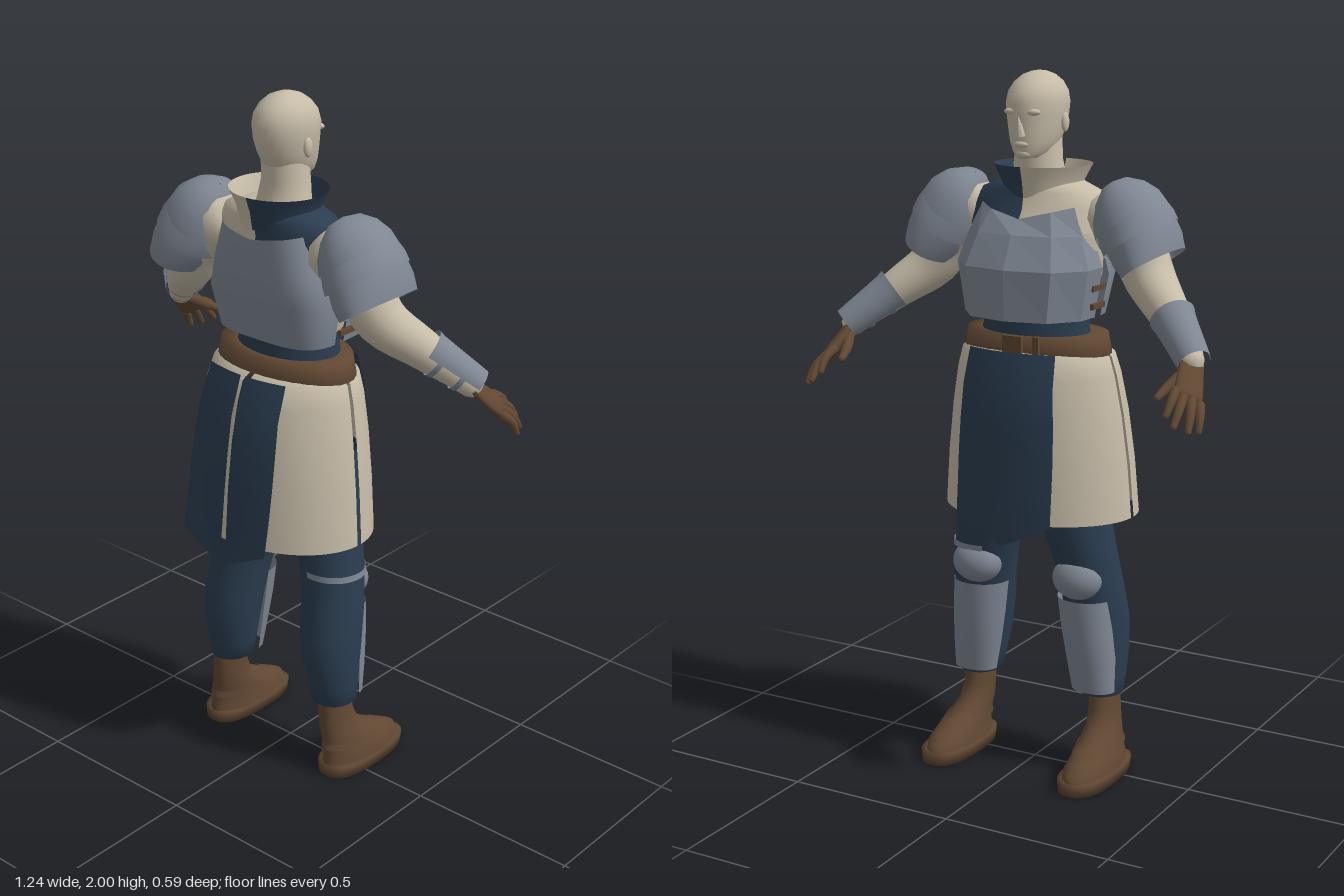
import * as THREE from 'three';

const paint = (name, color) => {
  const m = new THREE.MeshStandardMaterial({ color, side: THREE.DoubleSide });
  m.name = name;
  return m;
};
const V = (a) => new THREE.Vector3(...a);

// Skin a list of rings (arrays of points), open or closed around
function loft(rings, closed) {
  const n = rings[0].length, index = [];
  for (let j = 0; j < rings.length - 1; j++) {
    for (let i = 0; i < (closed ? n : n - 1); i++) {
      const k = (i + 1) % n, a = j * n + i, b = j * n + k;
      index.push(a, a + n, b, b, a + n, b + n);
    }
  }
  const g = new THREE.BufferGeometry().setFromPoints(rings.flat());
  g.setIndex(index);
  g.computeVertexNormals();
  return g;
}

// Superelliptic ring or arc, angles in degrees
function ring(c, u, v, ru, rv, a0 = 0, a1 = 360, e = 2, seg = 32) {
  const full = a1 - a0 === 360, pts = [];
  const f = (t) => Math.sign(t) * Math.pow(Math.abs(t), 2 / e);
  for (let i = 0; i < (full ? seg : seg + 1); i++) {
    const a = THREE.MathUtils.degToRad(a0 + ((a1 - a0) * i) / seg);
    pts.push(c.clone().addScaledVector(u, ru * f(Math.cos(a))).addScaledVector(v, rv * f(Math.sin(a))));
  }
  return pts;
}

// Horizontal slices [y, cx, cz, rx, rz]; angle 0 = +x, 90 = +z
const X = V([1, 0, 0]), Z = V([0, 0, 1]);
function slices(list, a0 = 0, a1 = 360, e = 2) {
  return loft(list.map(([y, cx, cz, rx, rz]) => ring(V([cx, y, cz]), X, Z, rx, rz, a0, a1, e)), a1 - a0 === 360);
}

// Tapered limb along points [x, y, z, r]; flat squashes it across the ref direction
function limb(pts, { ref = [0, 0, 1], a0 = 0, a1 = 360, flat = 1, cap = true, seg = 18 } = {}) {
  const curve = new THREE.CatmullRomCurve3(pts.map((p) => V(p.slice(0, 3))));
  const steps = (pts.length - 1) * 4, rings = [];
  for (let i = 0; i <= steps; i++) {
    const t = i / steps, k = Math.min(Math.floor(t * (pts.length - 1)), pts.length - 2);
    const r = THREE.MathUtils.lerp(pts[k][3], pts[k + 1][3], t * (pts.length - 1) - k);
    const c = curve.getPoint(t), a = curve.getTangent(t);
    const u = V(ref).addScaledVector(a, -V(ref).dot(a)).normalize();
    const v = u.clone().cross(a);
    const add = (d, s) => rings.push(ring(c.clone().addScaledVector(a, d), u, v, r * s, r * s * flat, a0, a1, 2, seg));
    if (cap && i === 0) { add(-r * 0.6 * flat, 0.01); add(-r * 0.4 * flat, 0.7); }
    add(0, 1);
    if (cap && i === steps) { add(r * 0.5 * flat, 0.75); add(r * 0.8 * flat, 0.01); }
  }
  return loft(rings, a1 - a0 === 360);
}

function mirrored(geo) {
  const g = geo.clone().scale(-1, 1, 1), ix = g.index.array;
  for (let i = 0; i < ix.length; i += 3) [ix[i], ix[i + 1]] = [ix[i + 1], ix[i]];
  g.computeVertexNormals();
  return g;
}

const blob = (x, y, z, rx, ry, rz) => new THREE.SphereGeometry(1, 20, 14).scale(rx, ry, rz).translate(x, y, z);
const box = (x, y, z, w, h, d) => new THREE.BoxGeometry(w, h, d).translate(x, y, z);

export function createModel() {
  const cream = paint('cream cloth and skin', 0xc6bca8);
  const navy = paint('navy cloth', 0x2b3d50);
  const steel = paint('steel', 0x7f8793);
  const leather = paint('brown leather', 0x614833);

  const model = new THREE.Group();
  model.name = 'armouredFigure';
  const add = (name, geo, mat) => {
    const m = new THREE.Mesh(geo, mat);
    m.name = name;
    model.add(m);
  };
  const both = (name, geo, mat) => {
    add(name + 'Left', geo, mat);
    add(name + 'Right', mirrored(geo), mat);
  };

  // Head, facing -z
  add('head', slices([[1.765, 0, -0.035, 0.004, 0.004], [1.768, 0, -0.03, 0.03, 0.042], [1.782, 0, -0.008, 0.05, 0.07],
    [1.81, 0, 0.004, 0.065, 0.086], [1.845, 0, 0.012, 0.073, 0.096], [1.88, 0, 0.017, 0.08, 0.101],
    [1.915, 0, 0.018, 0.083, 0.104], [1.945, 0, 0.02, 0.078, 0.096], [1.97, 0, 0.022, 0.064, 0.077],
    [1.988, 0, 0.023, 0.043, 0.052], [1.997, 0, 0.024, 0.02, 0.025], [2, 0, 0.024, 0.001, 0.001]]), cream);
  add('neck', slices([[1.64, 0, 0.035, 0.1, 0.085], [1.71, 0, 0.026, 0.078, 0.068], [1.76, 0, 0.02, 0.068, 0.066],
    [1.84, 0, 0.025, 0.062, 0.066]]), cream);
  add('nose', new THREE.ConeGeometry(0.016, 0.055, 12).rotateX(-0.25).translate(0, 1.857, -0.086), cream);
  add('lips', blob(0, 1.806, -0.075, 0.022, 0.01, 0.012), cream);
  add('chin', blob(0, 1.78, -0.064, 0.024, 0.015, 0.016), cream);
  both('brow', blob(0.03, 1.893, -0.07, 0.026, 0.01, 0.012), cream);
  both('ear', blob(0.081, 1.862, 0.024, 0.01, 0.027, 0.015), cream);

  // Torso, two-tone yoke and standing collar
  add('waist', slices([[0.8, 0, 0.01, 0.17, 0.12], [1.0, 0, 0.01, 0.2, 0.14], [1.2, 0, 0.01, 0.185, 0.125],
    [1.3, 0, 0.008, 0.158, 0.11], [1.38, 0, 0.008, 0.165, 0.115]]), navy);
  add('tunic', slices([[1.36, 0, 0.008, 0.17, 0.12], [1.45, 0, 0.01, 0.195, 0.13], [1.57, 0, 0.015, 0.2, 0.135]]), cream);
  const yoke = [[1.56, 0, 0.015, 0.2, 0.135], [1.63, 0, 0.035, 0.205, 0.108], [1.675, 0, 0.042, 0.18, 0.105],
    [1.7, 0, 0.045, 0.115, 0.095], [1.705, 0, 0.045, 0.08, 0.07]];
  const collar = [[1.65, 0, 0.045, 0.108, 0.11], [1.7, 0, 0.046, 0.115, 0.118], [1.745, 0, 0.048, 0.14, 0.132]];
  [[-90, 90, navy, 'Left'], [90, 270, cream, 'Right']].forEach(([a0, a1, mat, side]) => {
    add('yoke' + side, slices(yoke, a0, a1), mat);
    add('collar' + side, slices(collar, a0, a1), mat);
  });

  // Faceted breastplate: one half section, scaled per level
  const half = [[0.205, 0.0], [0.2, -0.07], [0.13, -0.145], [0, -0.168]];
  const section = half.concat(half.slice(0, -1).reverse().map(([x, z]) => [-x, z]));
  const levels = [[1.335, 0.92, 1.04, 0], [1.475, 1.03, 1.06, 0], [1.565, 0.88, 0.8, 0], [1.64, 0.72, 0.56, 0.035]];
  const breast = loft(levels.map(([y, sx, sz, dip]) => section.map(([x, z]) =>
    V([x * sx, y - dip * (1 - Math.abs(x) / 0.205), z * sz]))), false).toNonIndexed();
  breast.computeVertexNormals();
  add('breastplate', breast, steel);
  // Back plate with a dipped neck edge
  const back = slices([[1.335, 0, 0.005, 0.188, 0.137], [1.45, 0, 0.01, 0.21, 0.155], [1.54, 0, 0.01, 0.185, 0.162],
    [1.648, 0, 0.01, 0.152, 0.156]], 4, 176, 3.4);
  const bp = back.attributes.position;
  for (let i = 0; i < bp.count; i++) {
    if (bp.getY(i) > 1.64) bp.setY(i, 1.652 - 0.026 * (1 - Math.abs(bp.getX(i)) / 0.152));
  }
  back.computeVertexNormals();
  add('backPlate', back, steel);
  [1.37, 1.42].forEach((y) => both('sideStrap', box(0.2, y, -0.005, 0.01, 0.016, 0.07), leather));

  // Belt
  add('belt', slices([[1.228, 0, 0.018, 0.205, 0.13], [1.228, 0, 0.018, 0.224, 0.144], [1.285, 0, 0.018, 0.212, 0.138],
    [1.285, 0, 0.018, 0.15, 0.1]]), leather);
  add('buckle', box(0, 1.257, -0.126, 0.06, 0.06, 0.012), leather);
  add('beltLoop', box(-0.07, 1.257, -0.119, 0.018, 0.062, 0.012), leather);

  // Skirt gathered under the belt, slit at the sides and up the back
  const skirt = [[1.246, 0, 0.018, 0.2, 0.135], [1.225, 0, 0.021, 0.228, 0.168], [1.17, 0, 0.025, 0.243, 0.184],
    [1.06, 0, 0.032, 0.262, 0.202], [0.92, 0, 0.038, 0.279, 0.214], [0.765, 0, 0.042, 0.291, 0.222]];
  both('skirtBack', slices(skirt, 2, 87.7), cream);
  add('skirtFront', slices(skirt, 182, 358), cream);

  // Tabard panels: pointed hem towards the centre
  const panel = (x0, x1, zs, bow) => loft(zs.map((z, j) => {
    const row = [], t = j / (zs.length - 1);
    for (let i = 0; i <= 12; i++) {
      const x = THREE.MathUtils.lerp(x0, x1, i / 12) * (0.9 + 0.1 * Math.min(1, t * 2));
      const hem = 0.7 + 0.07 * Math.min(1, Math.abs(x) / 0.15);
      row.push(V([x, THREE.MathUtils.lerp(1.245, hem, t), z - bow * (x / 0.15) ** 2 * (1 - t * 0.6)]));
    }
    return row;
  }), false);
  both('tabardBack', panel(0.009, 0.152, [0.198, 0.236, 0.254, 0.268, 0.28, 0.295], 0.025), navy);
  add('tabardFront', panel(-0.15, 0.15, [-0.152, -0.178, -0.184, -0.188, -0.192, -0.197], -0.03), navy);

  // Sleeves and layered shoulder guards
  both('sleeve', limb([[0.19, 1.62, 0.05, 0.08], [0.29, 1.53, 0.045, 0.078], [0.345, 1.445, 0.03, 0.07],
    [0.43, 1.372, -0.03, 0.056], [0.5, 1.308, -0.085, 0.043], [0.54, 1.265, -0.118, 0.034]]), cream);
  const su = V([0.84, 0.54, 0]);
  const guard = (list) => loft(list.map(([x, y, ru, rv]) => ring(V([x, y, 0.045]), su, Z, ru, rv)), true);
  both('shoulderDome', guard([[0.218, 1.706, 0.002, 0.002], [0.225, 1.7, 0.035, 0.055], [0.24, 1.673, 0.073, 0.09],
    [0.258, 1.637, 0.1, 0.112], [0.277, 1.6, 0.109, 0.122]]), steel);
  both('shoulderLameUpper', guard([[0.277, 1.61, 0.102, 0.118], [0.292, 1.583, 0.108, 0.13], [0.306, 1.556, 0.107, 0.136]]), steel);
  both('shoulderLameLower', guard([[0.306, 1.566, 0.098, 0.128], [0.326, 1.528, 0.095, 0.137], [0.345, 1.49, 0.081, 0.138]]), steel);

  // Forearm guards, open on the inner side and strapped
  const inner = [-0.3, -0.5, 0.8];
  both('bracer', limb([[0.442, 1.366, -0.038, 0.064], [0.55, 1.268, -0.126, 0.046]], { ref: inner, a0: 68, a1: 292, cap: false, seg: 24 }), steel);
  both('bracerStrapUpper', limb([[0.462, 1.346, -0.056, 0.057], [0.472, 1.337, -0.064, 0.055]], { ref: inner, cap: false }), steel);
  both('bracerStrapLower', limb([[0.509, 1.302, -0.094, 0.049], [0.519, 1.293, -0.102, 0.047]], { ref: inner, cap: false }), steel);

  // Gloved hands
  both('palm', limb([[0.538, 1.272, -0.114, 0.034], [0.553, 1.225, -0.16, 0.04], [0.566, 1.192, -0.197, 0.042]],
    { ref: [0.07, -0.05, 0.045], flat: 0.45 }), leather);
  const fingers = [[[0.538, 1.212, -0.212], [0.54, 1.155, -0.278]], [[0.558, 1.198, -0.207], [0.566, 1.13, -0.286]],
    [[0.576, 1.186, -0.197], [0.597, 1.115, -0.262]], [[0.594, 1.174, -0.184], [0.612, 1.11, -0.23]]];
  fingers.forEach(([a, b]) => {
    const mid = [(a[0] + b[0]) / 2 + 0.004, (a[1] + b[1]) / 2 + 0.006, (a[2] + b[2]) / 2 - 0.004, 0.0125];
    both('finger', limb([[...a, 0.014], mid, [...b, 0.009]], { seg: 10 }), leather);
  });
  both('thumb', limb([[0.532, 1.245, -0.145, 0.018], [0.508, 1.215, -0.19, 0.015], [0.495, 1.19, -0.238, 0.01]], { seg: 10 }), leather);

  // Trousers
  both('trouserLeg', slices([[1.0, 0.11, 0, 0.1, 0.115], [0.85, 0.122, 0, 0.106, 0.11], [0.75, 0.134, -0.003, 0.104, 0.1],
    [0.65, 0.16, 0.005, 0.096, 0.09], [0.55, 0.178, 0.02, 0.093, 0.088], [0.46, 0.188, 0.038, 0.089, 0.092],
    [0.37, 0.194, 0.043, 0.082, 0.086], [0.29, 0.199, 0.04, 0.071, 0.076], [0.235, 0.202, 0.036, 0.062, 0.068],
    [0.235, 0.205, 0.038, 0.04, 0.05]]), navy);

  // Leg armour
  both('shinGuard', slices([[0.53, 0.172, 0, 0.084, 0.084], [0.44, 0.18, 0.002, 0.081, 0.082], [0.34, 0.189, 0.002, 0.075, 0.068],
    [0.25, 0.196, 0, 0.066, 0.052]], 180, 358, 2.2), steel);
  both('kneeCap', blob(0.165, 0.59, -0.046, 0.076, 0.062, 0.06), steel);
  add('kneeStrap', slices([[0.632, 0.165, 0.006, 0.098, 0.093], [0.65, 0.161, 0.005, 0.099, 0.094]], -110, 100), steel);

  // Boots
  both('boot', slices([[0.03, 0.226, -0.054, 0.068, 0.153], [0.055, 0.226, -0.052, 0.065, 0.147], [0.075, 0.225, -0.035, 0.059, 0.128],
    [0.1, 0.221, -0.008, 0.053, 0.101], [0.14, 0.214, 0.028, 0.046, 0.07], [0.19, 0.21, 0.04, 0.042, 0.06],
    [0.25, 0.208, 0.042, 0.042, 0.06]]), leather);
  both('bootSole', slices([[0, 0.227, -0.055, 0.001, 0.001], [0, 0.227, -0.055, 0.07, 0.158], [0.034, 0.227, -0.055, 0.073, 0.161],
    [0.036, 0.227, -0.055, 0.06, 0.14]], 0, 360, 2.6), leather);
  both('bootStrap', slices([[0.085, 0.223, -0.022, 0.06, 0.122], [0.105, 0.221, -0.006, 0.056, 0.1]]), leather);

  return model;
}
